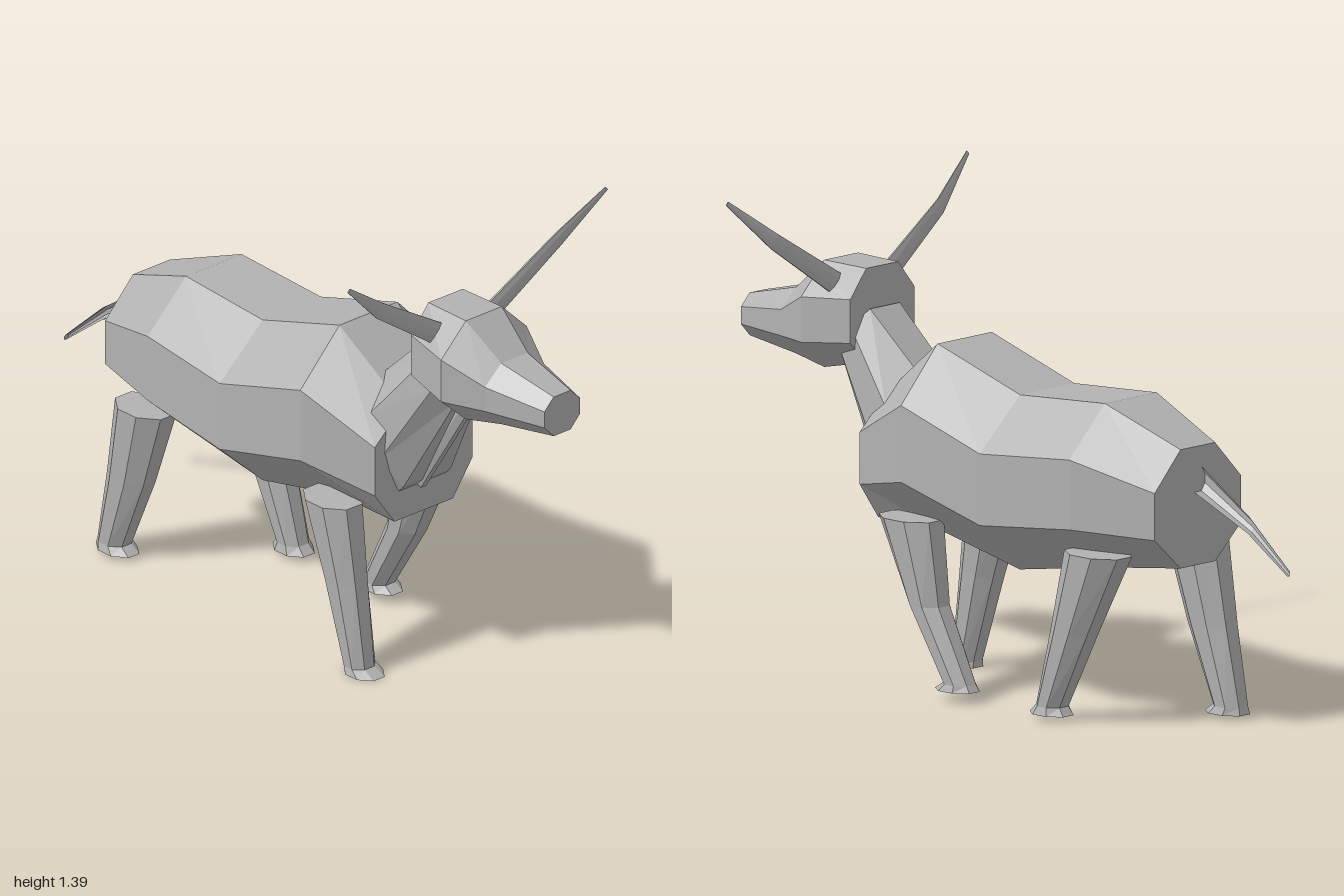
import * as THREE from 'three';

const hide = new THREE.MeshStandardMaterial({ color: 0xb2b2b2 });
hide.name = 'grey hide';

// Octagonal ring: centre x, top and bottom points [y, z], half-widths at the
// top, middle and bottom, and the heights (0..1) of the upper and lower corners.
function ring(x, top, bot, t, w, b = t, upper = 0.7, lower = 0.3) {
  const at = (dx, f) => [
    x + dx,
    bot[0] + (top[0] - bot[0]) * f,
    bot[1] + (top[1] - bot[1]) * f,
  ];
  return [
    at(t, 1), at(-t, 1), at(-w, upper), at(-w, lower),
    at(-b, 0), at(b, 0), at(w, lower), at(w, upper),
  ];
}

// Faceted skin through the rings, closed at both ends
function loft(name, rings) {
  const pos = [];
  const tri = (a, b, c) => pos.push(...a, ...b, ...c);
  const n = rings[0].length;
  for (let k = 0; k < rings.length - 1; k++) {
    const a = rings[k], b = rings[k + 1];
    for (let i = 0; i < n; i++) {
      const j = (i + 1) % n;
      tri(a[i], a[j], b[j]);
      tri(a[i], b[j], b[i]);
    }
  }
  const first = rings[0], last = rings[rings.length - 1];
  for (let i = 1; i < n - 1; i++) {
    tri(first[0], first[i + 1], first[i]);
    tri(last[0], last[i], last[i + 1]);
  }
  const geo = new THREE.BufferGeometry();
  geo.setAttribute('position', new THREE.Float32BufferAttribute(pos, 3));
  geo.computeVertexNormals();
  const mesh = new THREE.Mesh(geo, hide);
  mesh.name = name;
  return mesh;
}

// Upright ring given by z, bottom, lower corner, upper corner and top heights
function upright(x, z, y0, y1, y2, y3, t, w, b = t) {
  const h = y3 - y0;
  return ring(x, [y3, z], [y0, z], t, w, b, (y2 - y0) / h, (y1 - y0) / h);
}

// Leg from rows of [height, front z, rear z, half-width], top to hoof
function leg(name, x, rows) {
  return loft(name, rows.map(([y, front, rear, w]) =>
    ring(x, [y, front], [y, rear], w * 0.42, w)));
}

export function createModel() {
  const model = new THREE.Group();
  model.name = 'hornedAnimal';

  // Barrel of the body, rump to chest
  model.add(loft('body', [
    upright(-0.01, -0.68, 0.47, 0.565, 0.70, 0.81, 0.07, 0.175, 0.07),
    upright(-0.01, -0.42, 0.44, 0.57, 0.77, 0.91, 0.105, 0.25, 0.1),
    upright(-0.005, -0.10, 0.39, 0.54, 0.745, 0.89, 0.11, 0.273, 0.11),
    upright(-0.005, 0.22, 0.46, 0.615, 0.835, 0.99, 0.11, 0.258, 0.11),
    upright(-0.005, 0.45, 0.46, 0.565, 0.715, 0.81, 0.08, 0.185, 0.11),
  ]));

  // Neck rising from the chest
  model.add(loft('neck', [
    ring(-0.01, [0.80, 0.27], [0.53, 0.43], 0.06, 0.15, 0.09),
    ring(-0.01, [0.88, 0.355], [0.57, 0.47], 0.055, 0.148, 0.09),
    ring(0.005, [1.04, 0.52], [0.88, 0.63], 0.06, 0.105, 0.045),
  ]));

  // Thin fold of skin under the throat
  model.add(loft('dewlap', [
    ring(-0.015, [0.60, 0.42], [0.54, 0.46], 0.018, 0.02, 0.01),
    ring(-0.003, [0.90, 0.60], [0.84, 0.645], 0.018, 0.02, 0.01),
  ]));

  // Head, back of the skull to the muzzle
  model.add(loft('head', [
    upright(0.005, 0.53, 0.885, 0.95, 1.075, 1.155, 0.065, 0.13),
    upright(0.005, 0.69, 0.85, 0.935, 1.065, 1.157, 0.068, 0.162),
    upright(0.012, 0.81, 0.87, 0.93, 1.005, 1.06, 0.05, 0.112),
    upright(0.02, 1.0, 0.893, 0.93, 0.98, 1.015, 0.032, 0.067),
  ]));

  // Flat horns, shaped along z and turned outwards
  for (const side of [1, -1]) {
    const horn = loft('hornBlade', [
      ring(-0.612, [1.13, 0.085], [1.08, 0.125], 0.003, 0.008),
      ring(-0.632, [1.278, 0.325], [1.237, 0.348], 0.002, 0.005),
      ring(-0.67, [1.388, 0.483], [1.378, 0.492], 0.001, 0.002),
    ]);
    horn.rotation.y = Math.PI / 2;
    const holder = new THREE.Group();
    holder.name = side > 0 ? 'leftHorn' : 'rightHorn';
    holder.scale.x = side;
    holder.add(horn);
    model.add(holder);
  }

  // Tail, tip to root
  model.add(loft('tail', [
    ring(-0.043, [0.478, -1.0], [0.495, -0.998], 0.004, 0.008),
    ring(-0.028, [0.585, -0.865], [0.628, -0.855], 0.009, 0.017),
    ring(-0.008, [0.69, -0.66], [0.765, -0.66], 0.015, 0.03),
  ]));

  // Four legs in mid stride
  model.add(leg('leftFrontLeg', 0.172, [
    [0.5, 0.355, 0.16, 0.072],
    [0.26, 0.245, 0.13, 0.055],
    [0.05, 0.115, 0.025, 0.044],
    [0.03, 0.145, 0.012, 0.05],
  ]));
  model.add(leg('rightFrontLeg', -0.19, [
    [0.5, 0.365, 0.185, 0.072],
    [0.27, 0.395, 0.265, 0.056],
    [0.02, 0.428, 0.345, 0.044],
    [0.0, 0.468, 0.345, 0.05],
  ]));
  model.add(leg('leftRearLeg', 0.172, [
    [0.5, -0.365, -0.57, 0.072],
    [0.26, -0.305, -0.445, 0.056],
    [0.04, -0.245, -0.335, 0.044],
    [0.016, -0.222, -0.352, 0.05],
  ]));
  model.add(leg('rightRearLeg', -0.19, [
    [0.5, -0.41, -0.6, 0.072],
    [0.26, -0.49, -0.64, 0.056],
    [0.035, -0.585, -0.685, 0.044],
    [0.013, -0.555, -0.69, 0.05],
  ]));

  return model;
}
